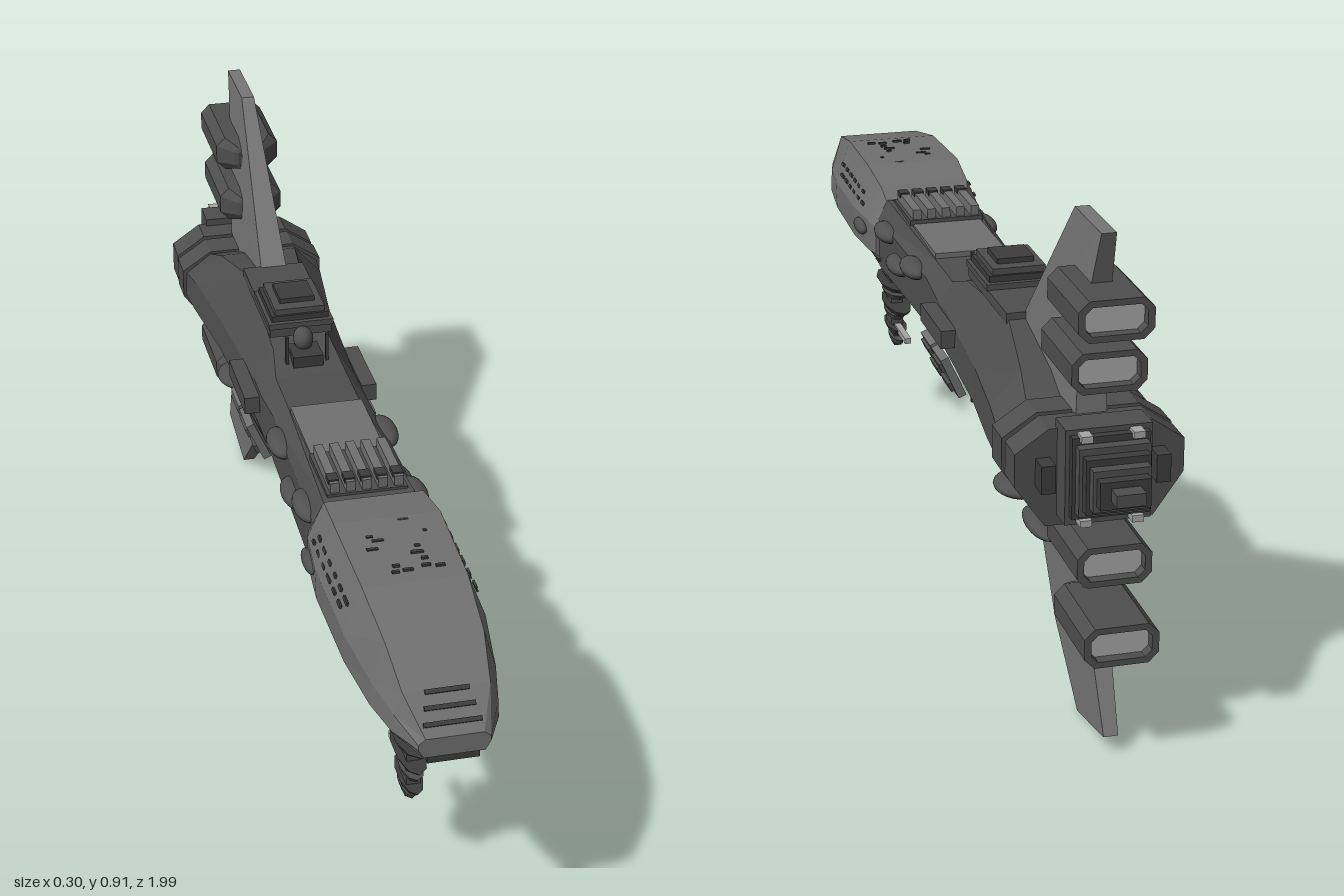
import * as THREE from 'three';

const paint = (name, color) => Object.assign(new THREE.MeshStandardMaterial({ color, flatShading: true }), { name });

export function createModel() {
  const root = new THREE.Group();
  const hull = paint('dark hull', 0x4e4e4e);
  const shell = paint('mid grey shell', 0x707070);
  const finGrey = paint('fin grey', 0x767676);
  const trim = paint('charcoal trim', 0x3c3c3c);
  const glow = paint('pale exhaust', 0xa6a6a6);
  const smooth = paint('smooth pod grey', 0x505050);
  smooth.flatShading = false;
  const bowlGrey = paint('smooth bowl grey', 0x666666);
  bowlGrey.flatShading = false;

  function add(name, geo, mat, x = 0, y = 0, z = 0, parent = root) {
    const m = new THREE.Mesh(geo, mat);
    m.name = name;
    m.position.set(x, y, z);
    parent.add(m);
    return m;
  }
  const box = (name, mat, w, h, d, x, y, z, parent) => add(name, new THREE.BoxGeometry(w, h, d), mat, x, y, z, parent);
  const pod = (name, rx, ry, rz, x, y, z) =>
    add(name, new THREE.SphereGeometry(1, 20, 12), smooth, x, y, z).scale.set(rx, ry, rz);

  // Skin between mirrored sections, ordered from front to back.
  // Each section is [z, x1, y1, x2, y2, ...], its right half from top to bottom.
  function loft(sections) {
    const rings = sections.map(([z, ...v]) => {
      const half = [];
      for (let i = 0; i < v.length; i += 2) half.push([v[i], v[i + 1], z]);
      return [...half.map(([x, y]) => [-x, y, z]), ...half.reverse()];
    });
    const n = rings[0].length, out = [];
    const tri = (a, b, c) => out.push(...a, ...b, ...c);
    for (let i = 0; i < rings.length - 1; i++) {
      for (let j = 0; j < n; j++) {
        const k = (j + 1) % n, r = rings[i], s = rings[i + 1];
        tri(r[j], s[k], r[k]);
        tri(r[j], s[j], s[k]);
      }
    }
    const f = rings[0], b = rings[rings.length - 1];
    for (let j = 1; j < n - 1; j++) {
      tri(f[0], f[j], f[j + 1]);
      tri(b[0], b[j + 1], b[j]);
    }
    const g = new THREE.BufferGeometry();
    g.setAttribute('position', new THREE.Float32BufferAttribute(out, 3));
    g.computeVertexNormals();
    return g;
  }

  // Main body: narrow neck flaring to the stern
  const body = [
    [0.43, 0.08, 0.59, 0.1, 0.56, 0.1, 0.46, 0.07, 0.425],
    [0.38, 0.085, 0.6, 0.105, 0.56, 0.105, 0.46, 0.06, 0.405],
    [0.0, 0.07, 0.585, 0.097, 0.56, 0.1, 0.47, 0.06, 0.415],
    [-0.1, 0.07, 0.585, 0.1, 0.55, 0.103, 0.48, 0.06, 0.41],
    [-0.17, 0.06, 0.61, 0.1, 0.55, 0.105, 0.48, 0.06, 0.4],
    [-0.44, 0.055, 0.638, 0.115, 0.54, 0.12, 0.48, 0.075, 0.38],
    [-0.62, 0.08, 0.6, 0.135, 0.54, 0.14, 0.48, 0.09, 0.385],
    [-0.69, 0.09, 0.57, 0.142, 0.53, 0.145, 0.48, 0.095, 0.4],
    [-0.81, 0.09, 0.565, 0.14, 0.53, 0.14, 0.48, 0.09, 0.41],
  ];
  add('body', loft(body), hull);
  for (const [z, w] of [[-0.69, 0.15], [-0.765, 0.148]])
    add('sternBand', loft([z, z - 0.062].map(q => [q, 0.09, 0.575, w, 0.535, w, 0.475, 0.095, 0.4])), hull);

  // Head shell with flat top and sloped cheeks
  const head = [[0.99, 0.05, 0.505, 0.062, 0.495, 0.062], [0.93, 0.075, 0.56, 0.09, 0.52, 0.092],
    [0.85, 0.085, 0.607, 0.108, 0.53, 0.11], [0.72, 0.093, 0.632, 0.126, 0.545, 0.124],
    [0.52, 0.097, 0.637, 0.131, 0.55, 0.128], [0.42, 0.092, 0.62, 0.122, 0.55, 0.12],
    [0.385, 0.085, 0.59, 0.112, 0.54, 0.112]];
  add('headShell', loft(head.map(s => [...s, 0.485, s[5] * 0.85, 0.468])), shell);
  add('headBowl', new THREE.SphereGeometry(1, 32, 12, 0, Math.PI * 2, Math.PI / 2, Math.PI / 2), bowlGrey, 0, 0.482, 0.67)
    .scale.set(0.106, 0.096, 0.275);
  add('headCollar', loft([[0.52, 0.11, 0.48, 0.06, 0.43], [0.4, 0.115, 0.48, 0.065, 0.41], [0.37, 0.11, 0.48, 0.06, 0.41]]), hull);

  // Small plates scattered over the head, from a seeded sequence
  let seed = 7;
  const rnd = () => (seed = (seed * 16807) % 2147483647) / 2147483647;
  for (let i = 0; i < 14; i++) {
    const w = 0.006 + rnd() * 0.018;
    box('roofPlate', trim, w, 0.004, 0.006, (rnd() - 0.5) * 0.13, 0.6355, 0.52 + rnd() * 0.18);
  }
  for (const s of [-1, 1]) {
    for (let i = 0; i < 12; i++)
      box('cheekWindow', trim, 0.004, 0.006, 0.012 + rnd() * 0.015, s * (i % 2 ? 0.1145 : 0.121), i % 2 ? 0.59 : 0.571, 0.47 + i * 0.02).rotation.z = s * 0.36;
  }
  for (let i = 0; i < 3; i++)
    box('noseVent', trim, 0.1 - i * 0.012, 0.004, 0.008, 0, 0.522 + i * 0.0185, 0.974 - i * 0.02).rotation.x = 0.75;

  // Chin sensors
  for (const [x, y, z, w, d] of [[0, 0.463, 0.95, 0.09, 0.07], [0, 0.45, 0.91, 0.05, 0.06], [0, 0.437, 0.9, 0.03, 0.03],
    [0.035, 0.455, 0.9, 0.02, 0.08], [-0.035, 0.455, 0.9, 0.02, 0.08]])
    box('chinSensor', trim, w, 0.022, d, x, y, z);

  // Sensor mast hanging below the head
  box('mastColumn', hull, 0.026, 0.2, 0.05, 0, 0.31, 0.71);
  box('mastTip', trim, 0.016, 0.05, 0.03, 0, 0.19, 0.695);
  box('mastRoot', hull, 0.05, 0.03, 0.13, 0, 0.385, 0.71);
  const vanes = [[0.375, 0.09, 0.035], [0.35, 0.082, 0.04], [0.33, 0.062, 0.03], [0.305, 0.085, 0.036],
    [0.285, 0.055, 0.028], [0.257, 0.085, 0.028], [0.235, 0.055, 0.022], [0.205, 0.065, 0.022], [0.18, 0.045, 0.016]];
  vanes.forEach(([y, rz, rx], i) => {
    const v = add('mastVane', new THREE.CylinderGeometry(1, 0.8, 0.012, 10), i % 2 ? trim : hull, 0, y, 0.71 - (i % 3) * 0.008);
    v.scale.set(rx, 1, rz);
  });
  box('mastArm', glow, 0.014, 0.012, 0.1, 0, 0.21, 0.63);

  // Blisters along the neck and head
  for (const s of [-1, 1]) {
    for (const [y, z] of [[0.553, 0.32], [0.553, 0.09], [0.517, 0.215]]) pod('neckBlister', 0.025, 0.018, 0.055, s * 0.102, y, z);
    pod('headBlister', 0.012, 0.015, 0.04, s * 0.128, 0.525, 0.46);
  }

  // Neck roof: plate and lengthwise ribs
  box('neckRoofPlate', shell, 0.14, 0.012, 0.19, 0, 0.591, 0.13);
  box('ribBase', hull, 0.15, 0.02, 0.15, 0, 0.595, 0.3);
  for (let i = 0; i < 5; i++) {
    box('roofRib', shell, 0.017, 0.026, 0.14, -0.06 + i * 0.03, 0.612, 0.3);
    box('ribCap', trim, 0.02, 0.01, 0.025, -0.06 + i * 0.03, 0.623, 0.35);
  }

  // Dorsal deck and its stepped tower
  box('dorsalDeck', hull, 0.125, 0.02, 0.27, 0, 0.637, -0.325);
  const steps = [[0.13, 0.15, 0.652], [0.115, 0.13, 0.664], [0.1, 0.12, 0.676], [0.07, 0.07, 0.686]];
  steps.forEach(([w, d, y], i) => box('towerStep', i % 2 ? trim : hull, w, 0.012, d, 0, y, -0.26));
  pod('dorsalDome', 0.02, 0.024, 0.025, 0, 0.63, -0.17);
  box('domeBase', trim, 0.06, 0.03, 0.06, 0, 0.6, -0.15);

  // Keel boxes, stepped downwards
  for (const [z, y, l] of [[0.14, 0.4, 0.2], [-0.29, 0.385, 0.18]])
    for (let i = 0; i < 4; i++)
      box('keelStep', i % 2 ? trim : hull, 0.11 - i * 0.018, 0.018, l - i * 0.025, 0, y + 0.01 - i * 0.013, z);

  // Slanted side panels and thin aerials
  for (const s of [-1, 1]) {
    for (const z of [-0.13, -0.215]) {
      box('sidePanel', shell, 0.016, 0.085, 0.075, s * 0.107, 0.45, z).rotation.z = -s * 0.42;
      for (const y of [0.43, 0.47])
        box('panelBar', hull, 0.016, 0.018, 0.06, s * (0.114 + (y - 0.45) * 0.42), y, z).rotation.z = -s * 0.42;
    }
    box('upperSideBox', hull, 0.03, 0.035, 0.16, s * 0.118, 0.53, -0.18);
    for (const [y, h] of [[0.615, 0.08], [0.385, 0.07]]) box('aerial', trim, 0.006, h, 0.008, s * 0.04, y, -0.135);
    pod('bellyPod', 0.05, 0.018, 0.06, s * 0.056, 0.352, -0.54);
    pod('finPod', 0.027, 0.015, 0.075, s * 0.03, 0.287, -0.575);
  }

  // Fins: outline points are [z, y], the blade thins towards its tip
  function fin(name, pts, rootY, tipY, rootT, tipT) {
    const g = new THREE.ExtrudeGeometry(new THREE.Shape(pts.map(p => new THREE.Vector2(...p))), { depth: 1, bevelEnabled: false });
    g.translate(0, 0, -0.5).rotateY(-Math.PI / 2);
    const p = g.attributes.position;
    for (let i = 0; i < p.count; i++) {
      const t = THREE.MathUtils.clamp((p.getY(i) - rootY) / (tipY - rootY), 0, 1);
      p.setX(i, p.getX(i) * 2 * THREE.MathUtils.lerp(rootT, tipT, t));
    }
    g.computeVertexNormals();
    add(name, g, finGrey);
  }
  fin('upperFin', [[-0.42, 0.61], [-0.705, 0.918], [-0.855, 0.918], [-0.775, 0.7], [-0.775, 0.55]], 0.62, 0.918, 0.028, 0.013);
  fin('lowerFin', [[-0.47, 0.4], [-0.625, 0.125], [-0.757, 0.004], [-0.915, 0.036], [-0.81, 0.26], [-0.76, 0.42]], 0.4, 0.004, 0.024, 0.012);

  // Engine nacelles: hollow casing, pale core and stepped nose
  const octagon = (w, h, c) => [[w, h - c], [w - c, h], [c - w, h], [-w, h - c], [-w, c - h], [c - w, -h], [w - c, -h], [w, c - h]];
  const vec = pts => pts.map(p => new THREE.Vector2(...p));
  const casing = new THREE.Shape(vec(octagon(0.065, 0.036, 0.018)));
  casing.holes.push(new THREE.Path(vec(octagon(0.053, 0.025, 0.012))));
  const casingGeo = new THREE.ExtrudeGeometry(casing, { depth: 0.18, bevelEnabled: false });
  const coreGeo = new THREE.ExtrudeGeometry(new THREE.Shape(vec(octagon(0.054, 0.026, 0.012))), { depth: 0.03, bevelEnabled: false });
  const ring = (z, w, h, c) => [z, w - c, h, w, h - c, w, c - h, w - c, -h];
  const noseGeo = loft([ring(0.26, 0.014, 0.011, 0.004), ring(0.215, 0.022, 0.02, 0.007),
    ring(0.21, 0.034, 0.024, 0.01), ring(0.18, 0.065, 0.036, 0.018), ring(0.16, 0.054, 0.026, 0.012)]);
  for (const [y, z] of [[0.786, -0.905], [0.684, -0.872], [0.357, -0.918], [0.232, -0.965]]) {
    const n = new THREE.Group();
    n.name = 'nacelle';
    n.position.set(0, y, z);
    add('casing', casingGeo, hull, 0, 0, 0, n);
    add('exhaustCore', coreGeo, glow, 0, 0, 0.02, n);
    add('nose', noseGeo, hull, 0, 0, 0, n);
    root.add(n);
  }

  // Stern machinery, stepping down to a central spike
  box('sternBlock', hull, 0.15, 0.17, 0.06, 0, 0.505, -0.845);
  for (let i = 0; i < 5; i++)
    box('sternLouvre', i % 2 ? hull : trim, 0.135 - i * 0.012, 0.145 - i * 0.024, 0.02, 0, 0.508, -0.88 - i * 0.02);
  box('sternSpike', hull, 0.05, 0.022, 0.06, 0, 0.51, -0.97);
  for (const s of [-1, 1]) {
    box('sternArm', trim, 0.025, 0.05, 0.05, s * 0.1, 0.5, -0.84);
    for (const y of [0.43, 0.58]) box('sternFitting', glow, 0.02, 0.012, 0.03, s * 0.045, y, -0.885);
  }
  return root;
}
